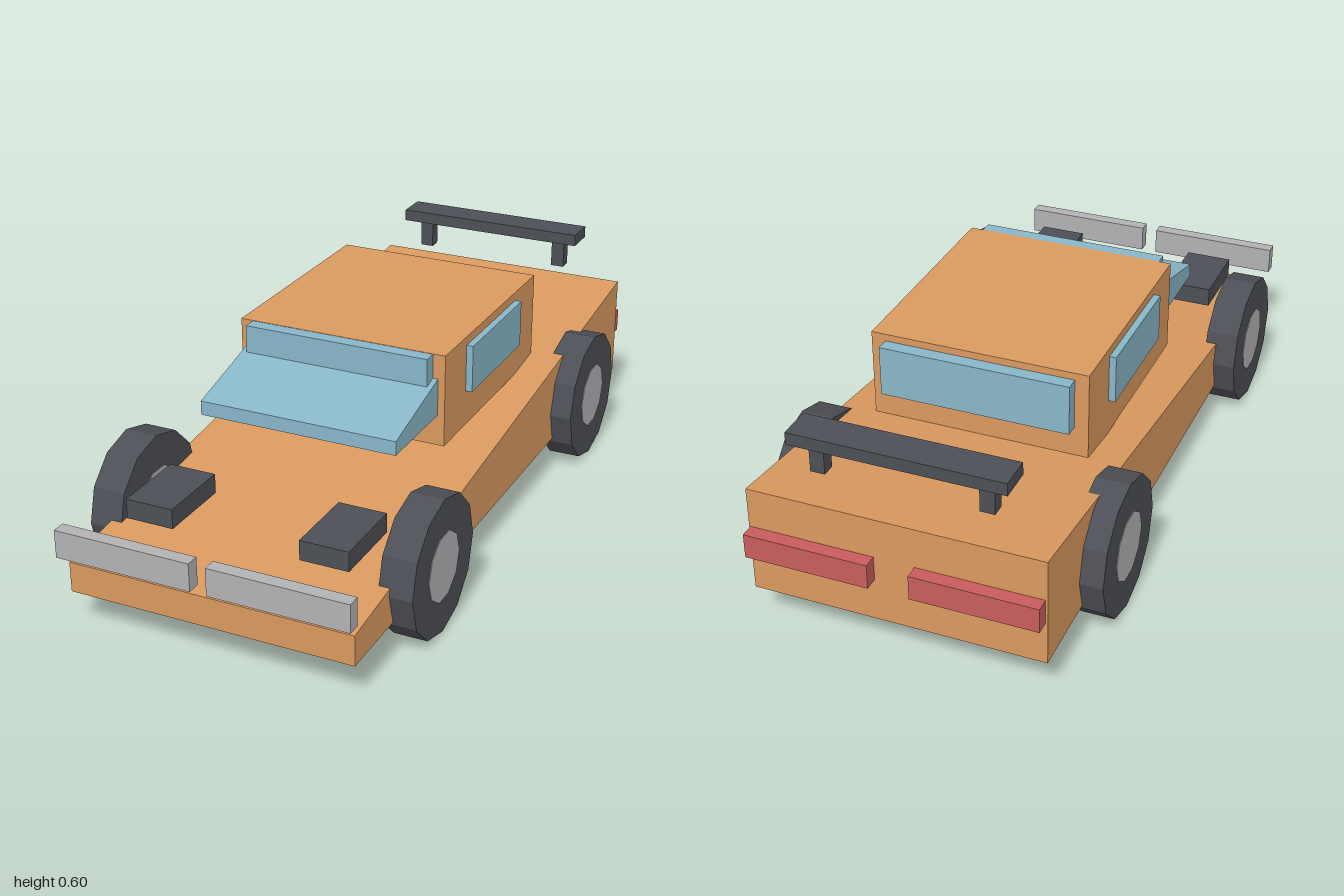
import * as THREE from 'three';

const paint = (color) => new THREE.MeshStandardMaterial({ color, flatShading: true });

export function createModel() {
  const car = new THREE.Group();
  car.name = 'car';
  const orange = paint(0xd9995f), glass = paint(0x88b6c8), dark = paint(0x4c4f55);
  const grey = paint(0xb2b2b4), red = paint(0xc85c5c);

  const add = (name, geometry, material) => {
    const mesh = new THREE.Mesh(geometry, material);
    mesh.name = name;
    car.add(mesh);
    return mesh;
  };

  // Box given by its [min, max] range on each axis
  const box = (name, material, [x0, x1], [y0, y1], [z0, z1]) =>
    add(name, new THREE.BoxGeometry(x1 - x0, y1 - y0, z1 - z0), material)
      .position.set((x0 + x1) / 2, (y0 + y1) / 2, (z0 + z1) / 2);

  // The same box on both sides of the car
  const boxPair = (name, material, [x0, x1], y, z) => {
    box(name + 'Left', material, [x0, x1], y, z);
    box(name + 'Right', material, [-x1, -x0], y, z);
  };

  // Side profile of [z, y] points, extruded across the width
  const wedge = (name, material, halfWidth, points) => {
    const shape = new THREE.Shape(points.map(([z, y]) => new THREE.Vector2(z, y)));
    const geometry = new THREE.ExtrudeGeometry(shape, { depth: halfWidth * 2, bevelEnabled: false });
    geometry.translate(0, 0, -halfWidth).rotateY(-Math.PI / 2);
    add(name, geometry, material);
  };

  // Body and cabin
  wedge('body', orange, 0.4, [[-0.96, 0.105], [0.96, 0.105], [0.96, 0.19], [-0.96, 0.408]]);
  box('cabin', orange, [-0.305, 0.305], [0.332, 0.595], [-0.437, 0.218]);

  // Windows
  wedge('windshield', glass, 0.285, [[0.2, 0.42], [0.483, 0.42], [0.483, 0.46], [0.2, 0.53]]);
  box('upperWindshield', glass, [-0.27, 0.27], [0.45, 0.594], [0.21, 0.257]);
  box('rearWindow', glass, [-0.266, 0.266], [0.433, 0.575], [-0.475, -0.43]);
  boxPair('sideWindow', glass, [0.295, 0.324], [0.435, 0.57], [-0.287, 0.073]);

  // Bumpers, hood pods and tail lights
  boxPair('frontBumper', grey, [0.023, 0.409], [0.222, 0.3], [0.962, 1]);
  boxPair('hoodPod', dark, [0.18, 0.315], [0.265, 0.32], [0.6, 0.816]);
  boxPair('tailLight', red, [0.055, 0.395], [0.228, 0.297], [-1, -0.962]);

  // Spoiler
  box('spoilerWing', dark, [-0.29, 0.29], [0.55, 0.585], [-0.935, -0.84]);
  boxPair('spoilerPost', dark, [0.205, 0.245], [0.465, 0.55], [-0.905, -0.867]);

  // Wheels
  const tire = new THREE.CylinderGeometry(0.191, 0.191, 0.093, 12).rotateZ(Math.PI / 2);
  const hub = new THREE.CylinderGeometry(0.096, 0.096, 0.097, 10).rotateZ(Math.PI / 2);
  for (const [end, z] of [['front', 0.578], ['rear', -0.557]]) {
    for (const [side, x] of [['Left', 0.416], ['Right', -0.416]]) {
      add(end + side + 'Tire', tire, dark).position.set(x, 0.191, z);
      add(end + side + 'Hub', hub, grey).position.set(x, 0.191, z);
    }
  }
  return car;
}
